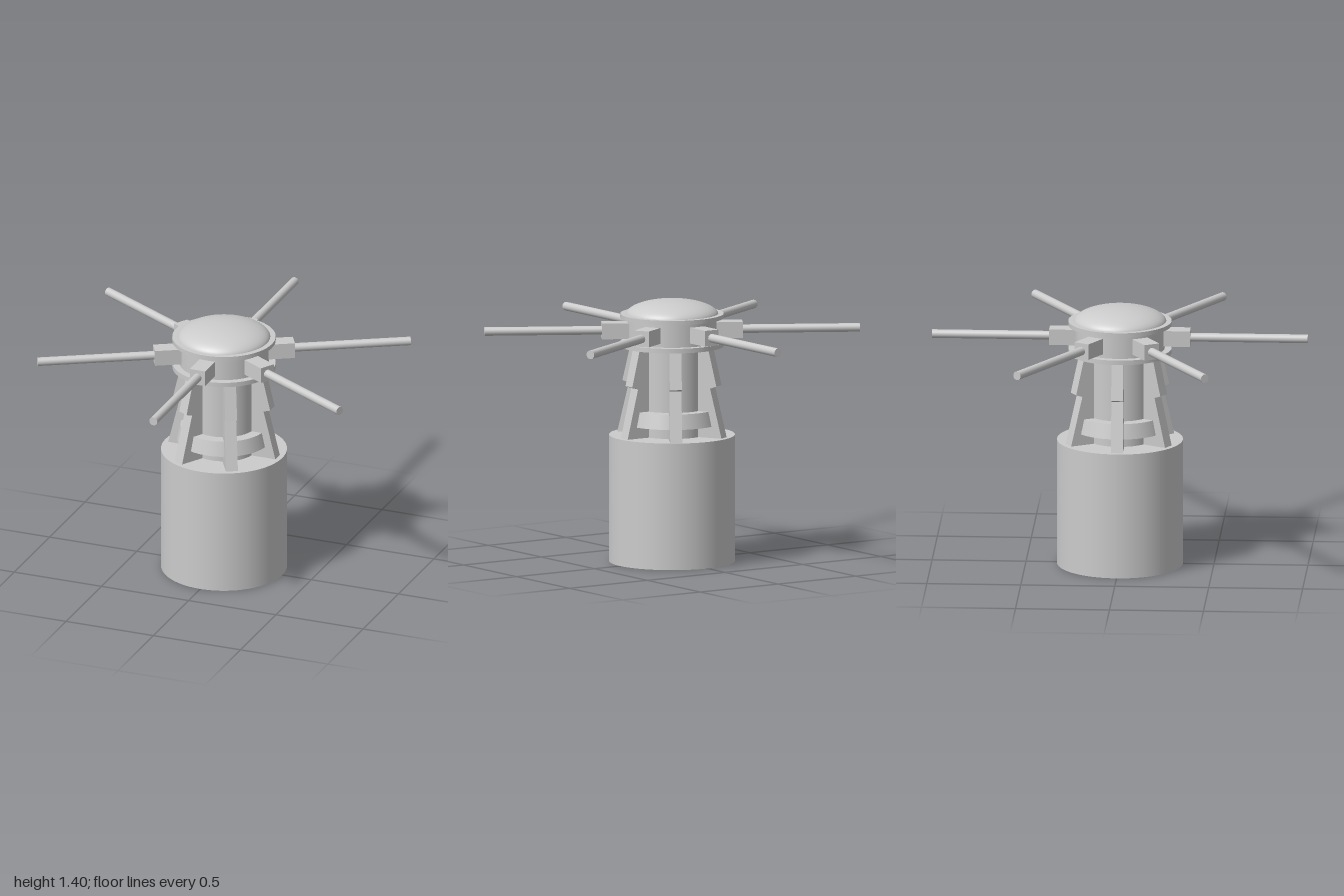
import * as THREE from 'three';

export function createModel() {
  const root = new THREE.Group();
  const material = new THREE.MeshStandardMaterial({ color: 0xcccccc });

  const add = (name, geometry, parent = root) => {
    const mesh = new THREE.Mesh(geometry, material);
    mesh.name = name;
    parent.add(mesh);
    return mesh;
  };

  // Upright cylinder or cone between two heights
  const drum = (name, rTop, rBottom, y0, y1) => {
    add(name, new THREE.CylinderGeometry(rTop, rBottom, y1 - y0, 64)).position.y = (y0 + y1) / 2;
  };

  drum('base', 0.335, 0.335, 0, 0.68);
  drum('core', 0.173, 0.173, 0.68, 1.16);
  drum('collar', 0.232, 0.25, 0.74, 0.82);
  drum('lowerFlange', 0.275, 0.275, 1.155, 1.18);
  drum('head', 0.238, 0.238, 1.18, 1.307);
  drum('upperFlange', 0.275, 0.275, 1.307, 1.33);

  // Flattened dome cap
  const dome = add('dome', new THREE.SphereGeometry(1, 64, 20, 0, Math.PI * 2, 0, Math.PI / 2));
  dome.scale.set(0.248, 0.085, 0.248);
  dome.position.y = 1.32;

  // Stepped fin profile, radius against height
  const finShape = new THREE.Shape([
    [0.15, 0.68], [0.307, 0.68], [0.24, 0.945], [0.277, 0.958], [0.228, 1.16], [0.15, 1.16],
  ].map(([r, y]) => new THREE.Vector2(r, y)));
  const finGeometry = new THREE.ExtrudeGeometry(finShape, { depth: 0.064, bevelEnabled: false });
  finGeometry.translate(0, 0, -0.032);

  // Socket and rod pointing along +x
  const socketGeometry = new THREE.BoxGeometry(0.19, 0.085, 0.088);
  socketGeometry.translate(0.28, 1.243, 0);
  const rodGeometry = new THREE.CylinderGeometry(0.023, 0.023, 0.64, 24);
  rodGeometry.rotateZ(-Math.PI / 2);
  rodGeometry.translate(0.68, 1.243, 0);

  // Six fins, with six arms halfway between them
  for (let i = 0; i < 6; i++) {
    const angle = i * Math.PI / 3;
    add('fin', finGeometry).rotation.y = angle;

    const arm = new THREE.Group();
    arm.name = 'arm';
    arm.rotation.y = angle + Math.PI / 6;
    add('socket', socketGeometry, arm);
    add('rod', rodGeometry, arm);
    root.add(arm);
  }

  return root;
}
